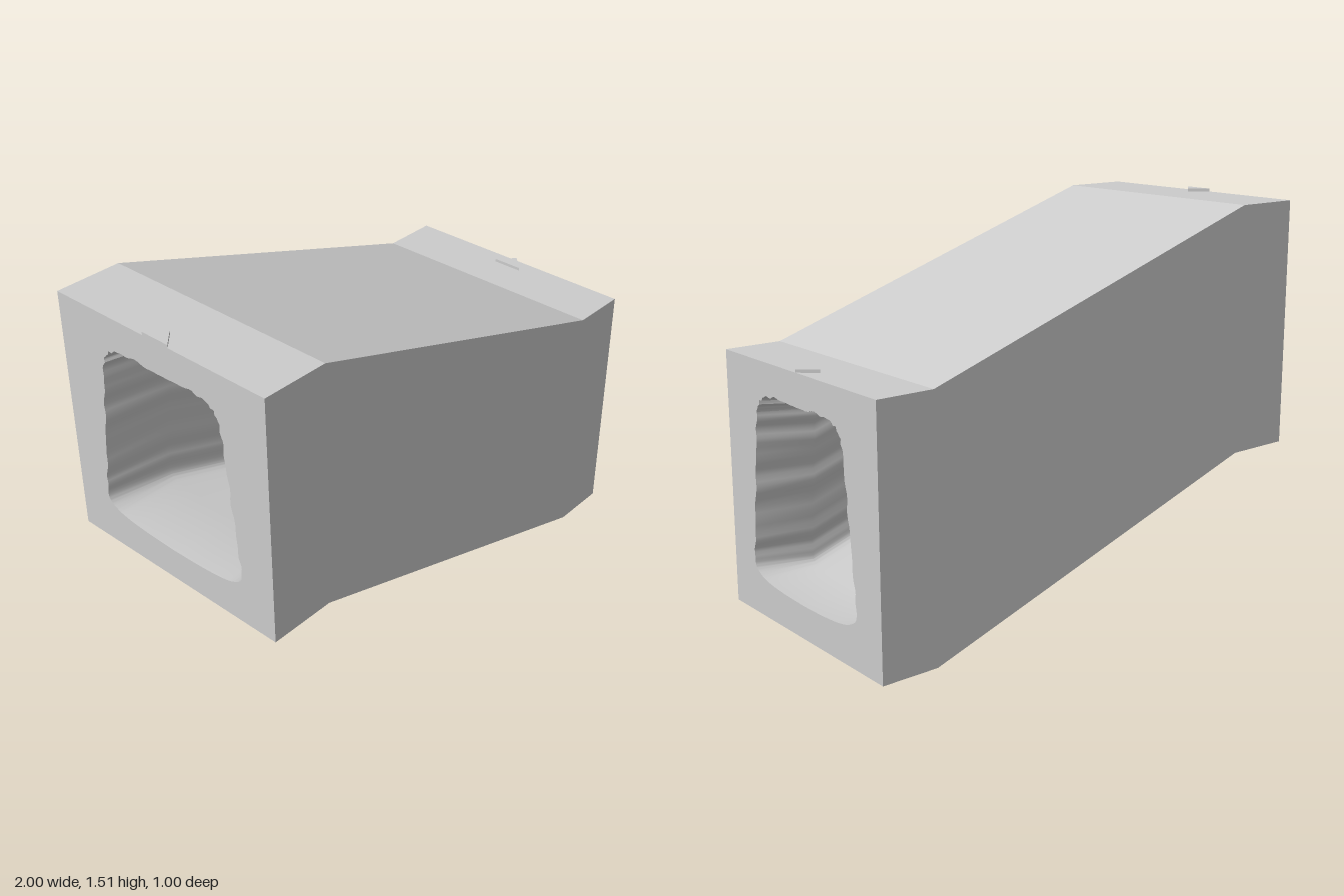
import * as THREE from 'three';
import { toCreasedNormals } from 'three/addons/utils/BufferGeometryUtils.js';

// stations along the block: [x, lift of the cross-section]
const STATIONS = [[-1, 0.5], [-0.73, 0.5], [0.77, 0], [1, 0]];

// half outlines of the bore as [z, y], from floor centre to ceiling centre
const MOUTH = [[0, 0.13], [0.15, 0.135], [0.25, 0.145], [0.305, 0.16], [0.345, 0.19], [0.34, 0.3], [0.32, 0.5],
  [0.3, 0.68], [0.285, 0.8], [0.265, 0.84], [0.23, 0.866], [0.15, 0.878], [0, 0.873]];
const THROAT = [[0, 0.13], [0.14, 0.133], [0.24, 0.143], [0.295, 0.158], [0.308, 0.175], [0.305, 0.3], [0.285, 0.5],
  [0.265, 0.66], [0.255, 0.78], [0.245, 0.815], [0.22, 0.84], [0.14, 0.85], [0, 0.85]];

// full closed bore outline; walls and ceiling get small irregular ripples
function boreOutline(half) {
  const curve = new THREE.CatmullRomCurve3(half.map(([z, y]) => new THREE.Vector3(z, y, 0)), false, 'centripetal');
  const n = 96;
  const side = (s) => {
    const pts = [];
    for (let i = 0; i <= n; i++) {
      const t = i / n;
      const p = curve.getPoint(t);
      const d = curve.getTangent(t);
      const fade = THREE.MathUtils.smoothstep(t, 0.33, 0.4) * (1 - THREE.MathUtils.smoothstep(t, 0.97, 1));
      const r = fade * (0.003 * Math.sin(t * 83 + s) + 0.0025 * Math.sin(t * 131 + 2 * s));
      pts.push(new THREE.Vector2(s * (p.x + d.y * r), p.y - d.x * r));
    }
    return pts;
  };
  return [...side(1), ...side(-1).reverse().slice(1, -1)];
}

// skin joining closed rings of equal length
function loft(rings) {
  const n = rings[0].length;
  const pos = rings.flat().flatMap((p) => [p.x, p.y, p.z]);
  const index = [];
  for (let i = 0; i < rings.length - 1; i++) {
    for (let j = 0; j < n; j++) {
      const a = i * n + j, b = i * n + ((j + 1) % n);
      index.push(a, b, a + n, b, b + n, a + n);
    }
  }
  const geo = new THREE.BufferGeometry();
  geo.setAttribute('position', new THREE.Float32BufferAttribute(pos, 3));
  geo.setIndex(index);
  geo.computeVertexNormals();
  return geo;
}

export function createModel() {
  const group = new THREE.Group();
  const material = new THREE.MeshStandardMaterial({ color: 0xcccccc });
  const add = (name, geo) => {
    const mesh = new THREE.Mesh(geo, material);
    mesh.name = name;
    group.add(mesh);
    return mesh;
  };
  const place = (outline, [x, lift]) => outline.map((p) => new THREE.Vector3(x, p.y + lift, p.x));

  // outer shell: square section stepped down along x
  const square = [[-0.5, 0], [0.5, 0], [0.5, 1], [-0.5, 1]].map(([z, y]) => new THREE.Vector2(z, y));
  const shell = loft([...STATIONS].reverse().map((s) => place(square, s)));
  add('outerShell', toCreasedNormals(shell, 0.1));

  // rippled bore, flared towards both mouths
  const mouth = boreOutline(MOUTH);
  const throat = boreOutline(THROAT);
  const bore = loft(STATIONS.map((s, i) => place(i === 0 || i === 3 ? mouth : throat, s)));
  add('tunnelBore', toCreasedNormals(bore, 0.6));

  // end faces with the mouth cut out
  for (const [side, station] of [[-1, STATIONS[0]], [1, STATIONS[3]]]) {
    const face = new THREE.Shape(square);
    face.holes.push(new THREE.Path(mouth.map((p) => new THREE.Vector2(-side * p.x, p.y))));
    const geo = new THREE.ShapeGeometry(face);
    geo.rotateY(side * Math.PI / 2);
    geo.translate(station[0], station[1], 0);
    add(side > 0 ? 'lowEndFace' : 'highEndFace', geo);
  }

  // thin direction arrows on the roof, pointing to +x
  for (const [name, x, y] of [['highArrow', -1, 1.5], ['lowArrow', 0.935, 1]]) {
    const tri = new THREE.Shape([[0, -0.062], [0.066, 0], [0, 0.062]].map(([a, b]) => new THREE.Vector2(a, b)));
    const geo = new THREE.ExtrudeGeometry(tri, { depth: 0.012, bevelEnabled: false });
    geo.rotateX(-Math.PI / 2);
    add(name, geo).position.set(x, y, 0);
  }
  return group;
}
